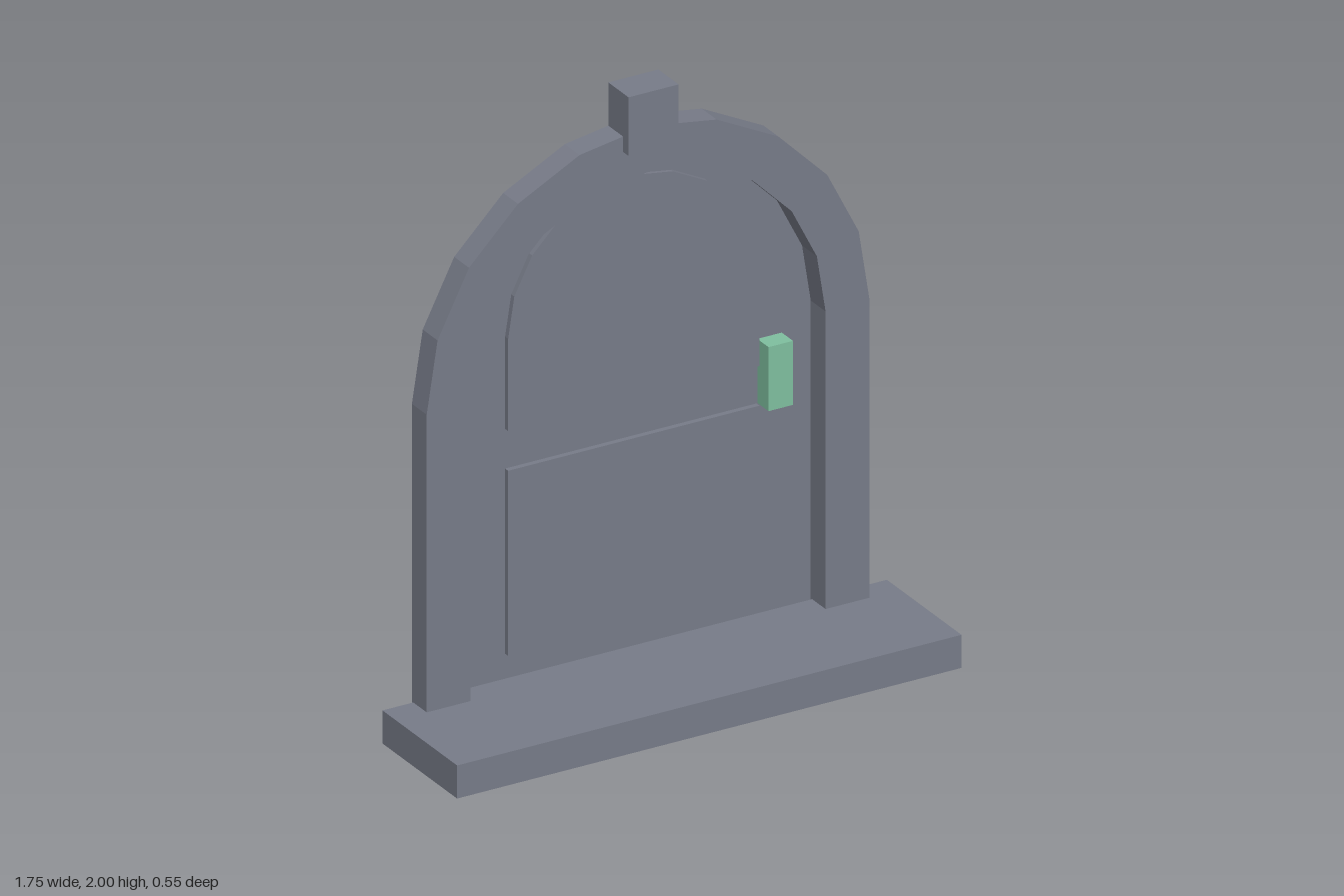
import * as THREE from 'three';

const slate = new THREE.MeshStandardMaterial({ name: 'slate', color: 0x777b88 });
const green = new THREE.MeshStandardMaterial({ name: 'paleGreen', color: 0x7fbf9f });

const SPRING = 1.1; // height where the main arch starts to curve

// Points of a faceted half circle, from +x over the top to -x
function arc(r, spring, steps = 10) {
  return Array.from({ length: steps + 1 }, (_, i) => {
    const a = (i / steps) * Math.PI;
    return new THREE.Vector2(r * Math.cos(a), spring + r * Math.sin(a));
  });
}

// Closed outline: straight sides with a round top
function archOutline(r, bottom, spring) {
  return [new THREE.Vector2(-r, bottom), new THREE.Vector2(r, bottom), ...arc(r, spring)];
}

function extruded(name, points, back, front) {
  const geo = new THREE.ExtrudeGeometry(new THREE.Shape(points), { depth: front - back, bevelEnabled: false });
  geo.translate(0, 0, back);
  const mesh = new THREE.Mesh(geo, slate);
  mesh.name = name;
  return mesh;
}

// Box given by its minimum and maximum corners
function block(name, min, max, material = slate) {
  const size = max.map((v, i) => v - min[i]);
  const mesh = new THREE.Mesh(new THREE.BoxGeometry(...size), material);
  mesh.position.set(...max.map((v, i) => (v + min[i]) / 2));
  mesh.name = name;
  return mesh;
}

export function createModel() {
  const model = new THREE.Group();
  model.name = 'archedDoor';

  // Door step
  model.add(block('step', [-0.877, 0, -0.165], [0.877, 0.11, 0.273]));

  // Arched surround, open at the bottom
  const surround = [
    new THREE.Vector2(0.617, 0), new THREE.Vector2(0.77, 0),
    ...arc(0.77, SPRING),
    new THREE.Vector2(-0.77, 0), new THREE.Vector2(-0.617, 0),
    ...arc(0.617, SPRING).reverse(),
  ];
  model.add(extruded('surround', surround, -0.173, -0.086));

  // Keystone
  model.add(block('keystone', [-0.087, 1.805, -0.173], [0.087, 2, -0.054]));

  // Door leaf with two raised panels
  model.add(extruded('doorLeaf', archOutline(0.66, 0, SPRING), -0.273, -0.188));
  model.add(extruded('upperPanel', archOutline(0.437, 0.928, 1.235), -0.19, -0.17));
  model.add(block('lowerPanel', [-0.437, 0.18, -0.19], [0.437, 0.796, -0.17]));

  // Handle plate
  model.add(block('handle', [0.44, 0.797, -0.19], [0.525, 1.01, -0.122], green));

  return model;
}
